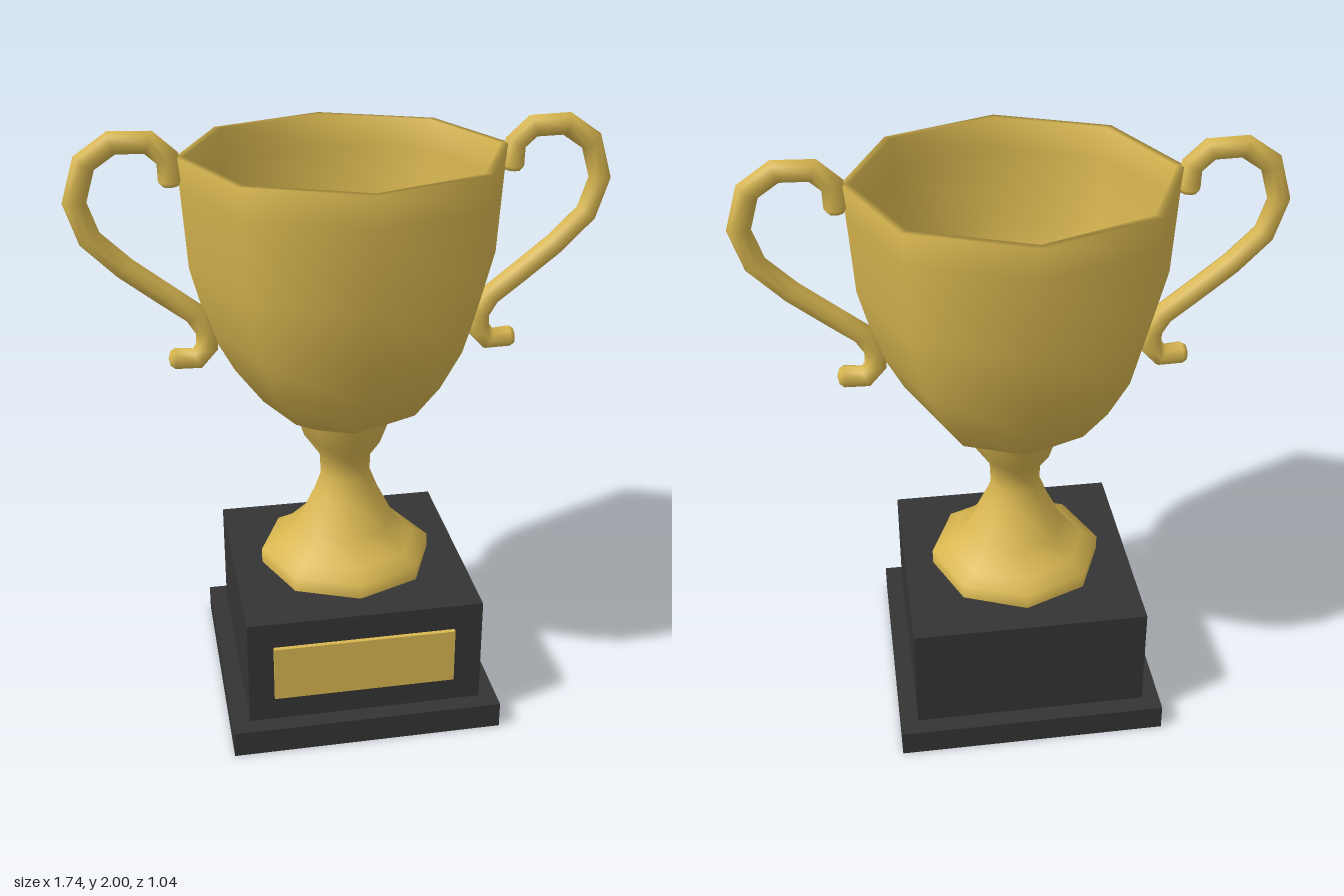
import * as THREE from 'three';

const gold = new THREE.MeshStandardMaterial({ color: 0xd9b750 });
const goldThin = new THREE.MeshStandardMaterial({ color: 0xd9b750, side: THREE.DoubleSide });
const black = new THREE.MeshStandardMaterial({ color: 0x343434 });

function add(parent, name, geometry, material) {
  const mesh = new THREE.Mesh(geometry, material);
  mesh.name = name;
  parent.add(mesh);
  return mesh;
}

// Box resting on a given height
function block(parent, name, w, h, d, x, y, z, material) {
  add(parent, name, new THREE.BoxGeometry(w, h, d), material).position.set(x, y + h / 2, z);
}

// Eight-sided turned part, corners on the x and z axes
function turned(parent, name, profile, material) {
  const points = profile.map(([r, y]) => new THREE.Vector2(r, y));
  add(parent, name, new THREE.LatheGeometry(points, 8), material);
}

// Scrolled handle with blunt rounded ends
function handle(name, side) {
  const group = new THREE.Group();
  group.name = name;
  const path = [
    [0.54, 1.84], [0.545, 1.91], [0.6, 1.96], [0.71, 1.963], [0.795, 1.905],
    [0.832, 1.785], [0.795, 1.67], [0.695, 1.57], [0.575, 1.475], [0.485, 1.405],
    [0.45, 1.345], [0.452, 1.29], [0.485, 1.252], [0.555, 1.256],
  ].map(([x, y]) => new THREE.Vector3(side * x, y, 0));
  const curve = new THREE.CatmullRomCurve3(path);
  // One ring per path point keeps the bends faceted
  curve.getPointAt = (t, target) => curve.getPoint(t, target);
  curve.getTangentAt = (t, target) => curve.getTangent(t, target);
  const radius = 0.037;
  add(group, 'handleTube', new THREE.TubeGeometry(curve, path.length - 1, radius, 8), gold);
  for (const t of [0, 1]) {
    const cap = add(group, 'handleEnd', new THREE.SphereGeometry(radius, 8, 4), gold);
    cap.position.copy(curve.getPoint(t));
    cap.quaternion.setFromUnitVectors(new THREE.Vector3(0, 1, 0), curve.getTangent(t));
    cap.scale.y = 0.6;
  }
  return group;
}

export function createModel() {
  const trophy = new THREE.Group();
  trophy.name = 'trophy';

  // Plinth and name plate
  block(trophy, 'plinthFoot', 0.91, 0.09, 0.91, 0, 0, 0, black);
  block(trophy, 'plinth', 0.79, 0.375, 0.79, 0, 0.09, 0, black);
  block(trophy, 'plate', 0.61, 0.195, 0.02, -0.005, 0.18, 0.4, gold);

  // Flared stem with a collar under the bowl
  turned(trophy, 'stem', [
    [0.295, 0.465], [0.295, 0.515], [0.24, 0.545], [0.17, 0.615], [0.11, 0.735],
    [0.085, 0.8], [0.088, 0.87], [0.14, 0.945], [0.165, 1.02],
  ], goldThin);

  // Hollow bowl: outside upward, over the rim, then down the inside
  turned(trophy, 'bowl', [
    [0.14, 1.005], [0.165, 1.017], [0.275, 1.08], [0.365, 1.2], [0.44, 1.34],
    [0.497, 1.555], [0.513, 1.81], [0.522, 1.912],
    [0.495, 1.912], [0.487, 1.81], [0.47, 1.56], [0.415, 1.36], [0.34, 1.225],
    [0.25, 1.11], [0.13, 1.045], [0.055, 0.98], [0, 0.975],
  ], goldThin);

  trophy.add(handle('leftHandle', 1), handle('rightHandle', -1));
  return trophy;
}
